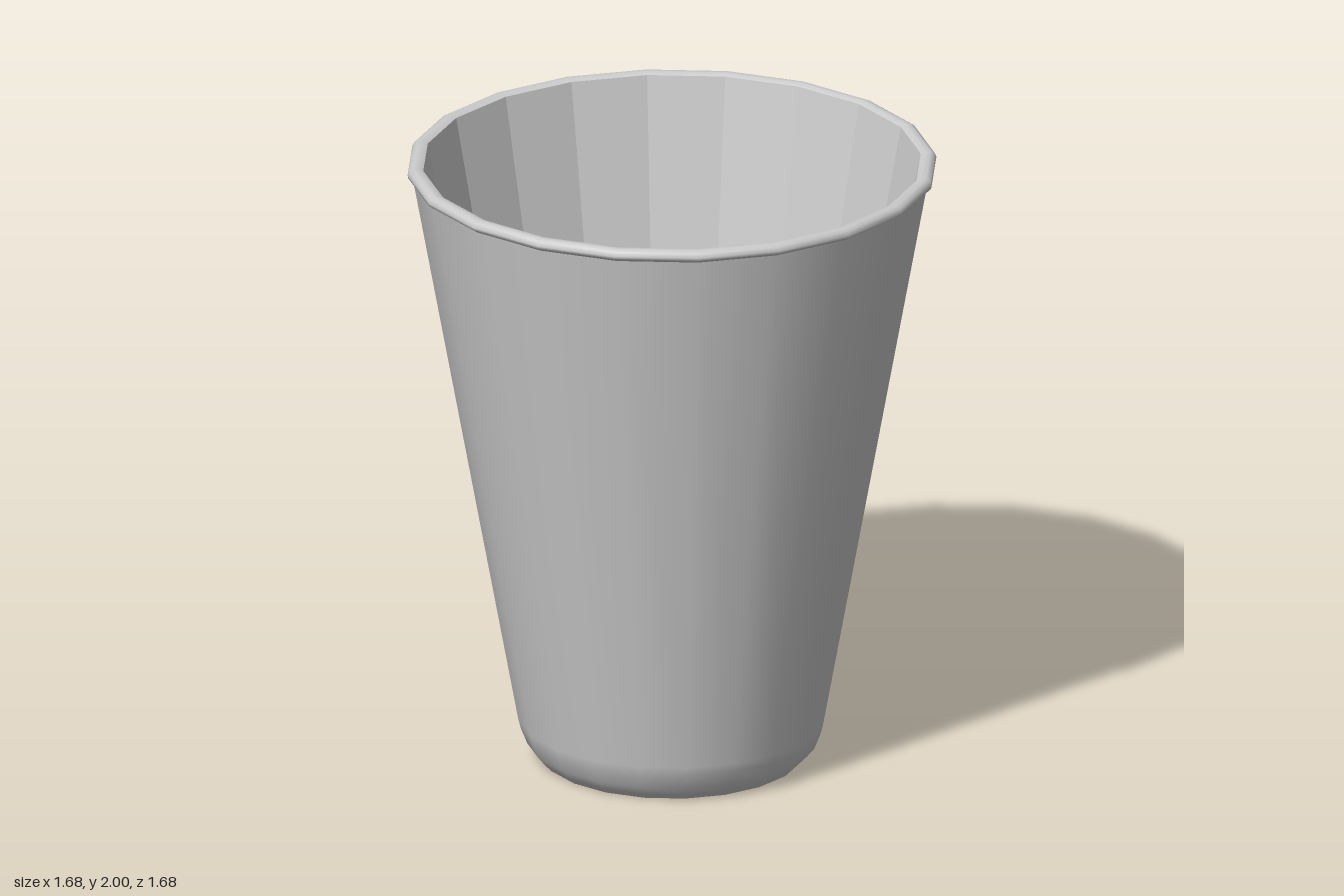
import * as THREE from 'three';

const SIDES = 20;

export function createModel() {
  const cup = new THREE.Group();
  cup.name = 'cup';
  const smooth = new THREE.MeshStandardMaterial({ color: 0xcccccc });
  const flat = new THREE.MeshStandardMaterial({ color: 0xcccccc, flatShading: true });

  const add = (name, geometry, material) => {
    const mesh = new THREE.Mesh(geometry, material);
    mesh.name = name;
    cup.add(mesh);
    return mesh;
  };
  const lathe = (profile) =>
    new THREE.LatheGeometry(profile.map(([r, y]) => new THREE.Vector2(r, y)), SIDES);
  const disc = (name, radius, y, tilt) => {
    const mesh = add(name, new THREE.CircleGeometry(radius, SIDES), flat);
    mesh.rotation.x = tilt;
    mesh.position.y = y;
  };

  // Smooth tapered outside with a rounded foot
  add('outerWall', lathe([[0.415, 0], [0.435, 0.02], [0.46, 0.05], [0.48, 0.1], [0.488, 0.13], [0.822, 1.96]]), smooth);

  // Rolled lip, from under its outer edge over to the inside
  add('lip', lathe([[0.822, 1.96], [0.838, 1.97], [0.84, 1.98], [0.835, 1.993], [0.822, 2], [0.805, 2], [0.79, 1.993]]), smooth);

  // Faceted inside, profile running downwards so it faces inward
  add('innerWall', lathe([[0.79, 1.993], [0.41, 0.03]]), flat);

  disc('innerFloor', 0.41, 0.03, -Math.PI / 2);
  disc('base', 0.415, 0, Math.PI / 2);
  return cup;
}
